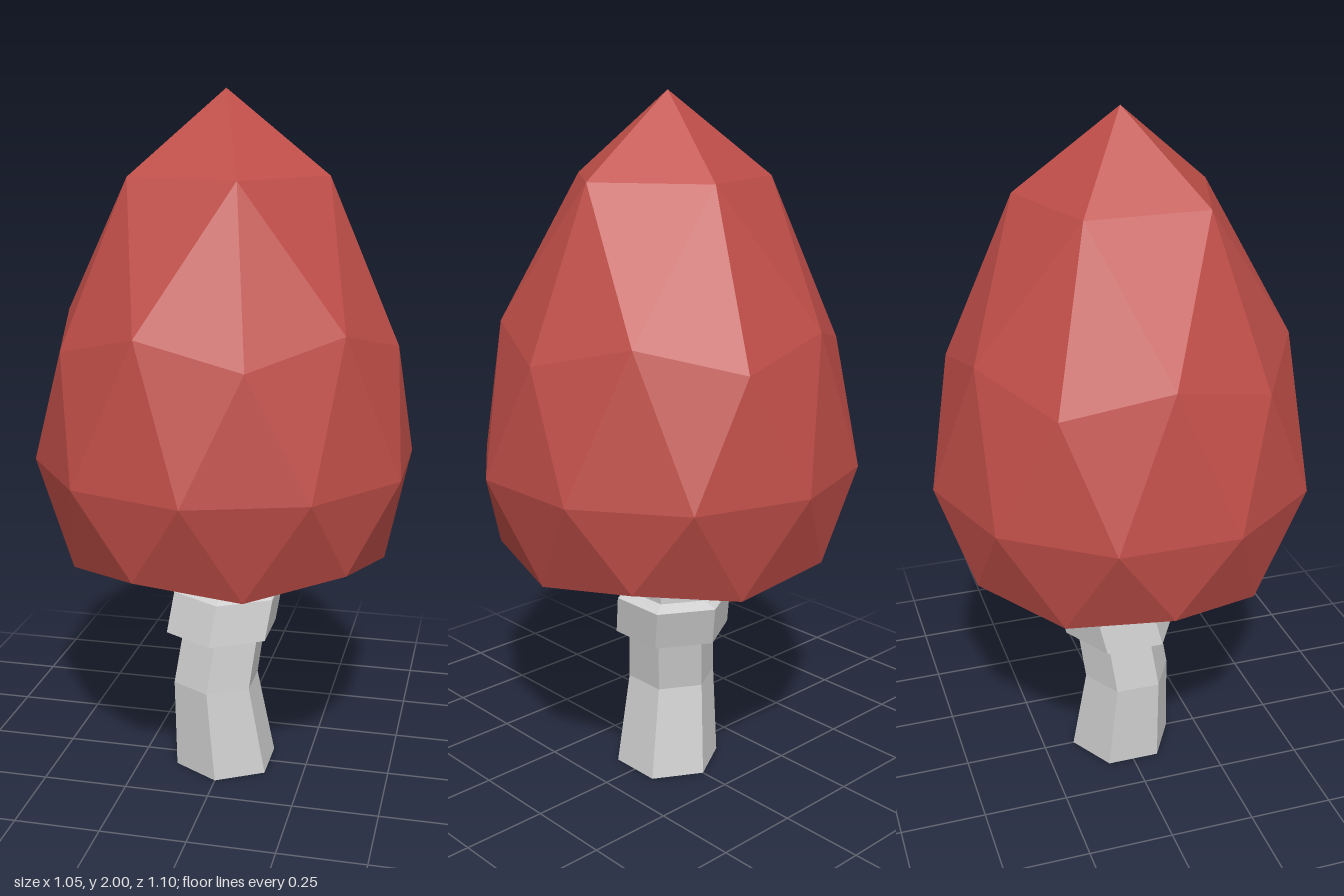
import * as THREE from 'three';

const red = new THREE.MeshStandardMaterial({ color: 0xc04e48, flatShading: true });
red.name = 'capRed';
const grey = new THREE.MeshStandardMaterial({ color: 0xd0d0d0, flatShading: true });
grey.name = 'stemGrey';

// Faceted mesh from a list of triangles (each three Vector3)
function facetMesh(name, tris, material) {
  const geo = new THREE.BufferGeometry().setFromPoints(tris.flat());
  geo.computeVertexNormals();
  const mesh = new THREE.Mesh(geo, material);
  mesh.name = name;
  return mesh;
}

// Ring of n points; radius and height alternate between even and odd points
function ring(n, startDeg, radii, heights, cx = 0, cz = 0) {
  return Array.from({ length: n }, (_, i) => {
    const a = THREE.MathUtils.degToRad(startDeg + (360 / n) * i);
    const r = radii[i % radii.length];
    return new THREE.Vector3(cx + r * Math.cos(a), heights[i % heights.length], cz - r * Math.sin(a));
  });
}

const at = (list, i) => list[(i + list.length) % list.length];

// Egg-shaped cap: a stretched geodesic ball with its base pushed inwards
function buildCap() {
  const tris = [];
  const add = (a, b, c, flip) => tris.push(flip ? [a, c, b] : [a, b, c]);

  const upper = ring(10, 0, [0.49, 0.468], [1.31, 1.38]);
  const middle = ring(10, 18, [0.55], [0.97]);
  const lower = ring(10, 36, [0.49, 0.468], [0.73, 0.69]);

  // Pole, five-point ring and ten-point ring
  const crown = (pole, five, ten, flip) => {
    for (let k = 0; k < 5; k++) {
      const a = five[k], b = at(five, k + 1);
      add(pole, a, b, flip);
      add(a, at(ten, 2 * k - 1), ten[2 * k], flip);
      add(a, ten[2 * k], ten[2 * k + 1], flip);
      add(a, ten[2 * k + 1], b, flip);
    }
  };
  crown(new THREE.Vector3(0, 2, 0), ring(5, 0, [0.29], [1.77]), upper, false);
  crown(new THREE.Vector3(0, 0.84, 0), ring(5, 36, [0.29], [0.82]), lower, true);

  // Side bands; lower starts one step (36 degrees) further round
  for (let j = 0; j < 10; j++) {
    const e0 = at(middle, j - 1), e1 = middle[j];
    const l0 = at(lower, j - 1), l1 = lower[j];
    add(upper[j], e0, e1);
    add(upper[j], e1, at(upper, j + 1));
    add(e0, l0, e1);
    add(e1, l0, l1);
  }
  return facetMesh('cap', tris, red);
}

// Crooked six-sided stem with a raised collar: [y, radius, centre x, centre z]
function buildStem() {
  const sections = [
    [0, 0.157, 0, 0],
    [0.27, 0.132, -0.028, 0.012],
    [0.42, 0.13, -0.008, -0.008],
    [0.43, 0.172, -0.015, -0.005],
    [0.55, 0.172, 0.002, -0.032],
    [0.565, 0.13, 0.002, -0.03],
    [0.73, 0.147, -0.004, -0.016],
    [0.88, 0.155, -0.008, -0.005],
  ];
  const rings = sections.map(([y, r, x, z]) => ring(6, 30, [r], [y], x, z));
  const tris = [];
  for (let s = 0; s < rings.length - 1; s++) {
    for (let i = 0; i < 6; i++) {
      const a = rings[s][i], b = at(rings[s], i + 1);
      const c = at(rings[s + 1], i + 1), d = rings[s + 1][i];
      tris.push([a, b, c], [a, c, d]);
    }
  }
  // End faces
  const first = rings[0], last = rings[rings.length - 1];
  for (let i = 1; i < 5; i++) {
    tris.push([first[0], first[i + 1], first[i]], [last[0], last[i], last[i + 1]]);
  }
  return facetMesh('stem', tris, grey);
}

export function createModel() {
  const model = new THREE.Group();
  model.name = 'mushroom';
  model.add(buildCap(), buildStem());
  return model;
}
